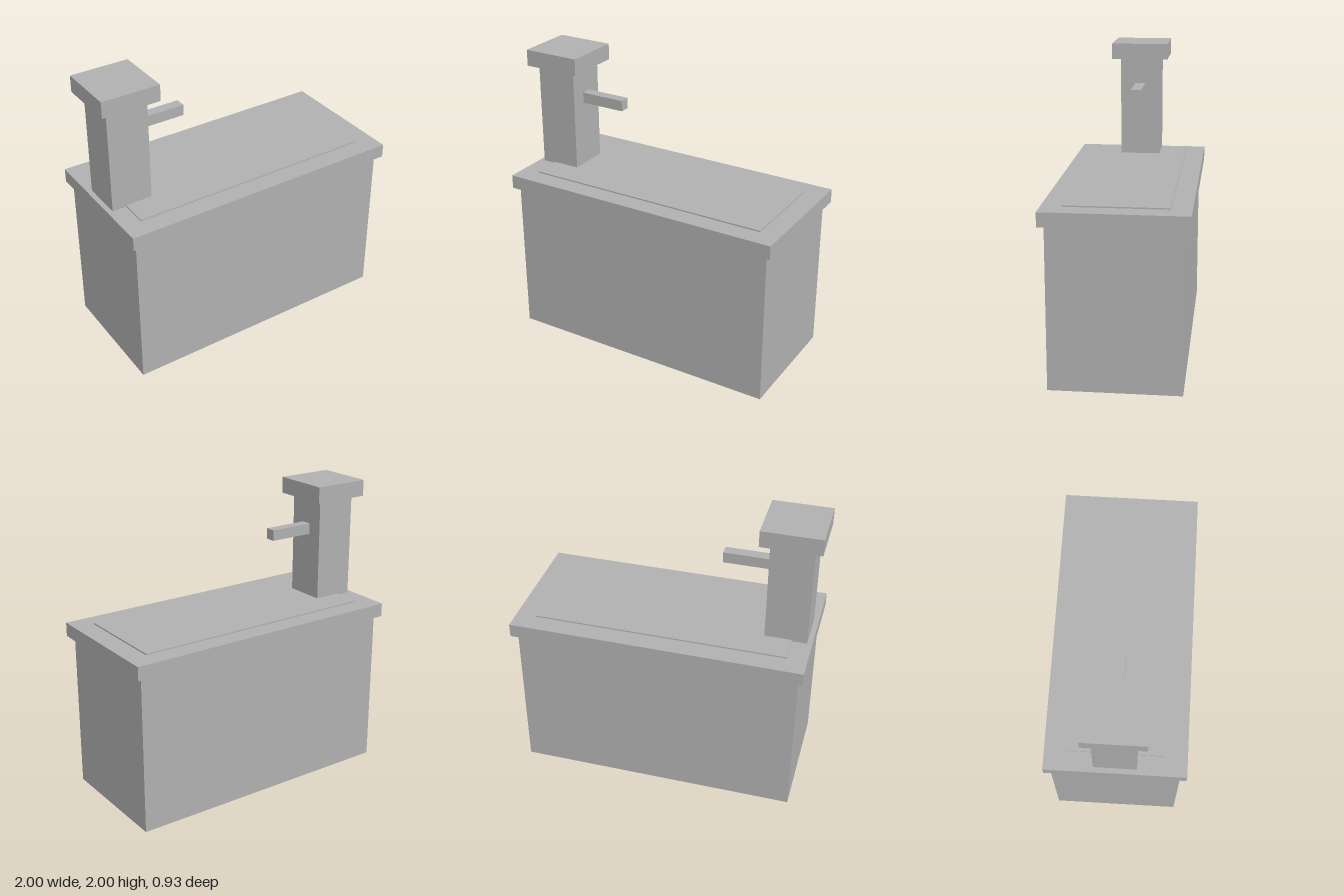
import * as THREE from 'three';

export function createModel() {
  const model = new THREE.Group();
  model.name = 'waterTrough';

  const stone = new THREE.MeshStandardMaterial({ color: 0xb0b0b0 });
  stone.name = 'grey stone';

  // Box between x0..x1 and y0..y1, centred on z = 0
  function block(name, x0, x1, y0, y1, depth) {
    const mesh = new THREE.Mesh(new THREE.BoxGeometry(x1 - x0, y1 - y0, depth), stone);
    mesh.name = name;
    mesh.position.set((x0 + x1) / 2, (y0 + y1) / 2, 0);
    model.add(mesh);
  }

  // Trough with overhanging rim and slightly raised water surface
  block('basin', -0.946, 0.96, 0, 1.08, 0.857);
  block('rim', -0.981, 1, 1.08, 1.174, 0.933);
  block('waterSurface', -0.85, 0.862, 1.174, 1.183, 0.667);

  // Fountain post, cap and spout
  block('post', -0.946, -0.663, 1.174, 1.888, 0.284);
  block('postCap', -1, -0.602, 1.888, 2, 0.4);
  block('spout', -0.663, -0.346, 1.632, 1.706, 0.072);

  return model;
}
